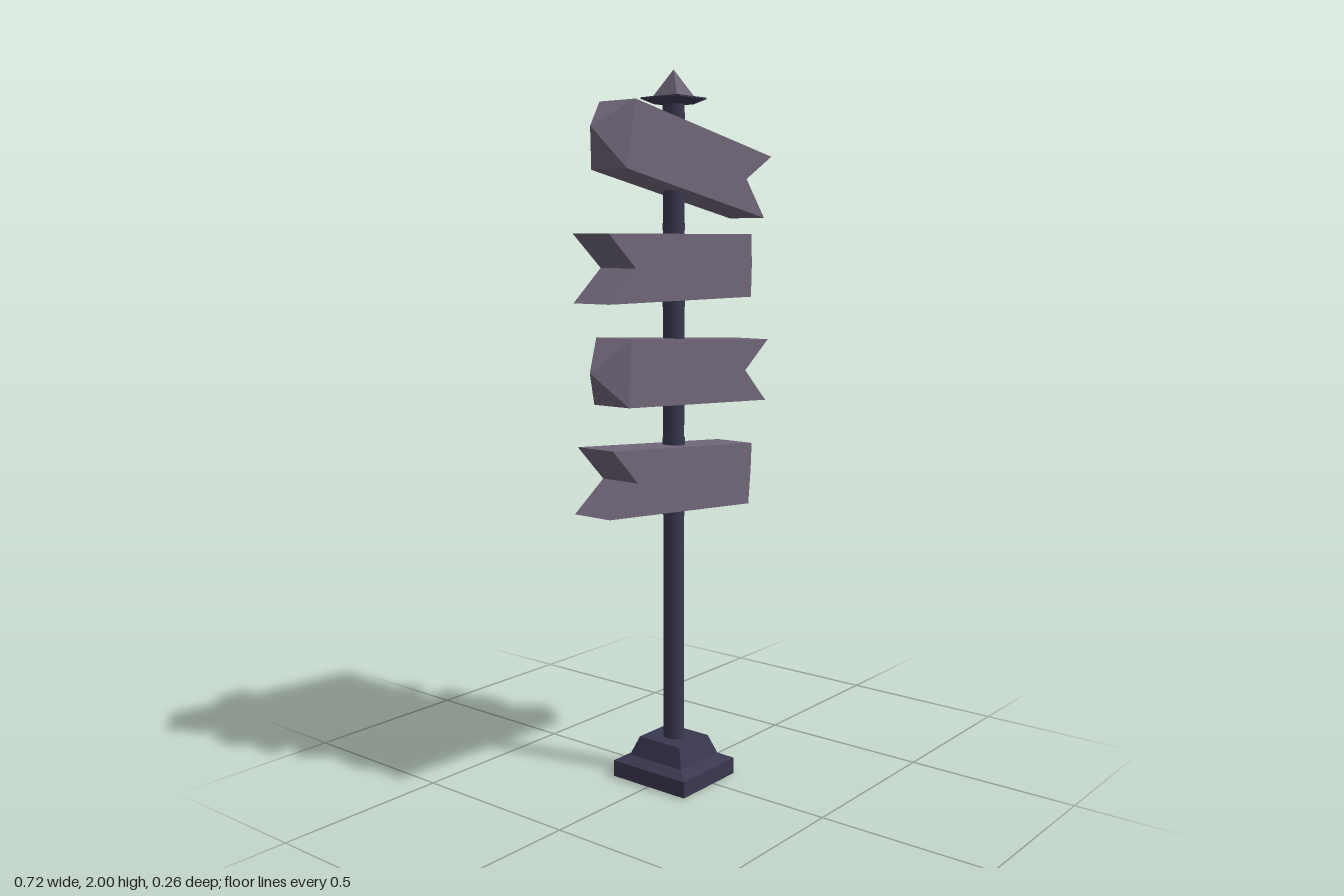
import * as THREE from 'three';

const boardMat = new THREE.MeshStandardMaterial({ color: 0x6f6678, flatShading: true });
const postMat = new THREE.MeshStandardMaterial({ color: 0x3a3850 });
const baseMat = new THREE.MeshStandardMaterial({ color: 0x3a3850, flatShading: true, side: THREE.DoubleSide });

function add(parent, name, geometry, material, y = 0) {
  const mesh = new THREE.Mesh(geometry, material);
  mesh.name = name;
  mesh.position.y = y;
  parent.add(mesh);
  return mesh;
}

// Square stack of frustums from [half width, height] pairs, bottom to top
function squareLathe(profile) {
  const points = profile.map(([half, y]) => new THREE.Vector2(half * Math.SQRT2, y));
  return new THREE.LatheGeometry(points, 4, Math.PI / 4);
}

// Board pointing to +x: notched tail, straight body and a pyramid tip
function createBoard(name) {
  const board = new THREE.Group();
  board.name = name;
  const end = 0.31, half = 0.09, depth = 0.124, tipLength = 0.09;
  const outline = [[-end, half], [-0.203, 0], [-end, -half], [end, -half], [end, half]];
  const shape = new THREE.Shape(outline.map(([x, y]) => new THREE.Vector2(x, y)));
  const body = new THREE.ExtrudeGeometry(shape, { depth, bevelEnabled: false });
  body.translate(0, 0, -depth / 2);
  add(board, 'boardBody', body, boardMat);

  const tip = new THREE.ConeGeometry(Math.SQRT2, tipLength, 4, 1, true);
  tip.rotateY(Math.PI / 4);
  tip.rotateZ(-Math.PI / 2);
  tip.scale(1, half, depth / 2);
  tip.translate(end + tipLength / 2, 0, 0);
  add(board, 'boardTip', tip, boardMat);
  return board;
}

export function createModel() {
  const model = new THREE.Group();
  model.name = 'signpost';

  // Post, slightly deeper than wide
  const post = new THREE.Group();
  post.name = 'post';
  post.position.x = -0.0185;
  post.scale.z = 1.11;
  model.add(post);

  // Stepped foot, open underneath
  add(post, 'base', squareLathe([
    [0.117, 0], [0.117, 0.047], [0.085, 0.064], [0.066, 0.118], [0, 0.118],
  ]), baseMat);

  add(post, 'pole', new THREE.CylinderGeometry(0.028, 0.028, 1.81, 16), postMat, 1.01);

  // Thin collars where the pole meets the boards
  for (const y of [0.782, 0.985, 1.37, 1.58, 1.875]) {
    add(post, 'collar', new THREE.CylinderGeometry(0.0295, 0.0295, 0.02, 16), postMat, y);
  }

  // Flared cap with a pyramid finial
  add(post, 'cap', squareLathe([
    [0, 1.908], [0.036, 1.908], [0.06, 1.922], [0.06, 1.926], [0.037, 1.93], [0, 1.93],
  ]), baseMat);
  add(post, 'finial', squareLathe([[0.037, 1.93], [0, 2]]), boardMat);

  // Boards: centre x, centre y, tilt in degrees, pointing direction
  const boards = [
    ['topBoard', 0.037, 1.754, -11, -1],
    ['upperBoard', -0.048, 1.47, 0, 1],
    ['lowerBoard', 0.034, 1.179, -3.2, -1],
    ['bottomBoard', -0.045, 0.885, -4.6, 1],
  ];
  for (const [name, x, y, tilt, direction] of boards) {
    const holder = new THREE.Group();
    holder.name = name + 'Mount';
    holder.position.set(x, y, 0);
    holder.rotation.z = THREE.MathUtils.degToRad(tilt);
    const board = createBoard(name);
    if (direction < 0) board.rotation.y = Math.PI;
    holder.add(board);
    model.add(holder);
  }
  return model;
}
